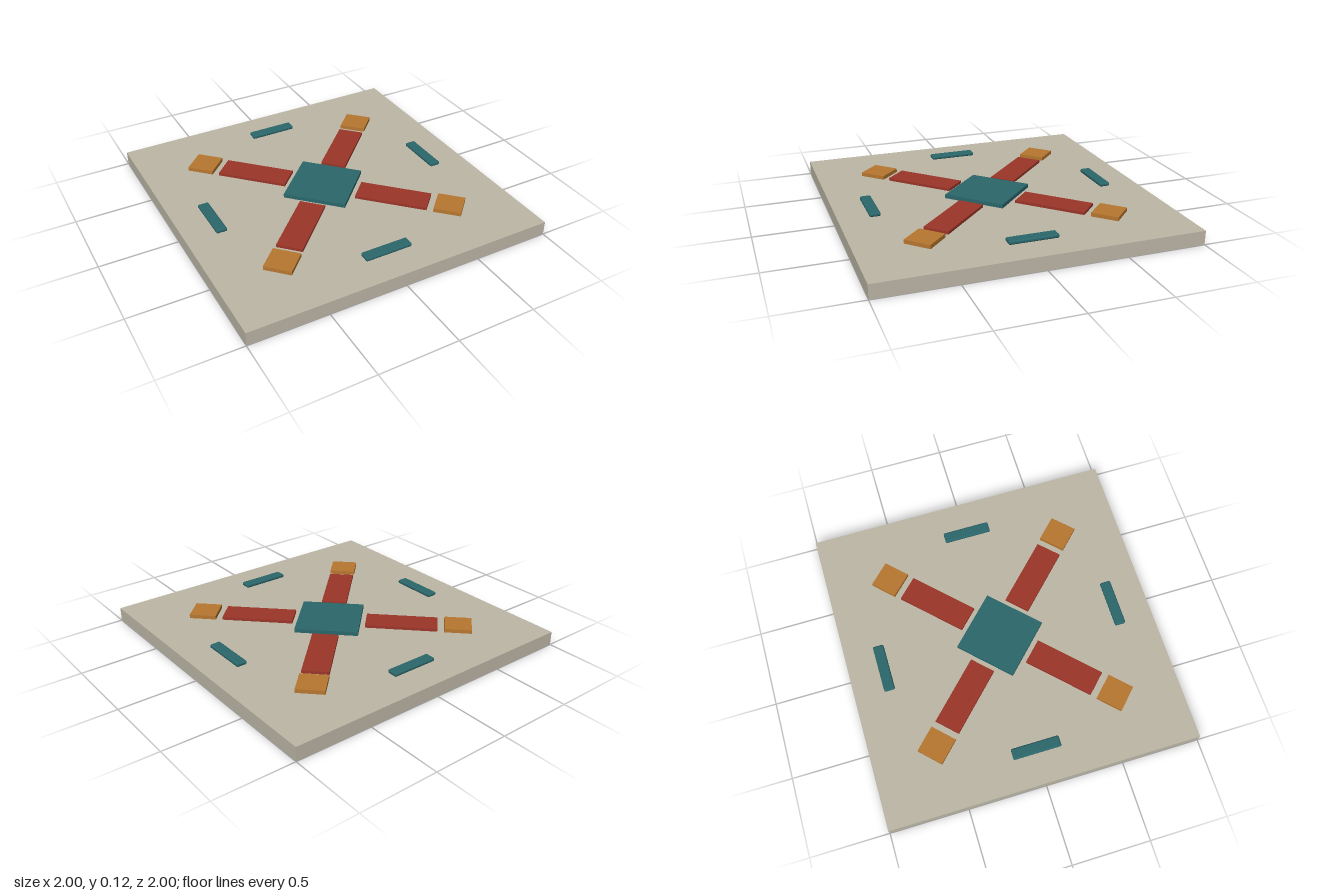
import * as THREE from 'three';
import { RoundedBoxGeometry } from 'three/addons/geometries/RoundedBoxGeometry.js';

const SLAB_TOP = 0.09;

const material = (color) => new THREE.MeshStandardMaterial({ color });

export function createModel() {
  const group = new THREE.Group();
  const stone = material(0xbdb7a6);
  const teal = material(0x2a676b);
  const red = material(0x9c3528);
  const ochre = material(0xb87730);

  const add = (name, geometry, mat, x, y, z, turn = 0) => {
    const mesh = new THREE.Mesh(geometry, mat);
    mesh.name = name;
    mesh.position.set(x, y, z);
    mesh.rotation.y = turn;
    group.add(mesh);
  };

  // Square base slab
  add('slab', new THREE.BoxGeometry(2, SLAB_TOP, 2), stone, 0, SLAB_TOP / 2, 0);

  // Central diamond
  add('centreDiamond', new THREE.BoxGeometry(0.404, 0.025, 0.404), teal, 0, 0.1025, 0, Math.PI / 4);

  // Diagonal arms, each with a diamond at its outer end
  const arm = new THREE.BoxGeometry(0.46, 0.018, 0.166);
  const tip = new THREE.BoxGeometry(0.173, 0.025, 0.173);
  // Short rounded bars along the four edges
  const bar = new RoundedBoxGeometry(0.31, 0.025, 0.07, 3, 0.01);

  for (let i = 0; i < 4; i++) {
    const diagonal = Math.PI / 4 + (i * Math.PI) / 2;
    const c = Math.cos(diagonal);
    const s = -Math.sin(diagonal);
    add('diagonalArm', arm, red, 0.465 * c, 0.099, 0.465 * s, diagonal);
    add('cornerDiamond', tip, ochre, 0.825 * c, 0.1025, 0.825 * s, diagonal);

    const side = (i * Math.PI) / 2;
    add('edgeBar', bar, teal, 0.774 * Math.sin(side), 0.1025, 0.774 * Math.cos(side), side);
  }

  return group;
}
